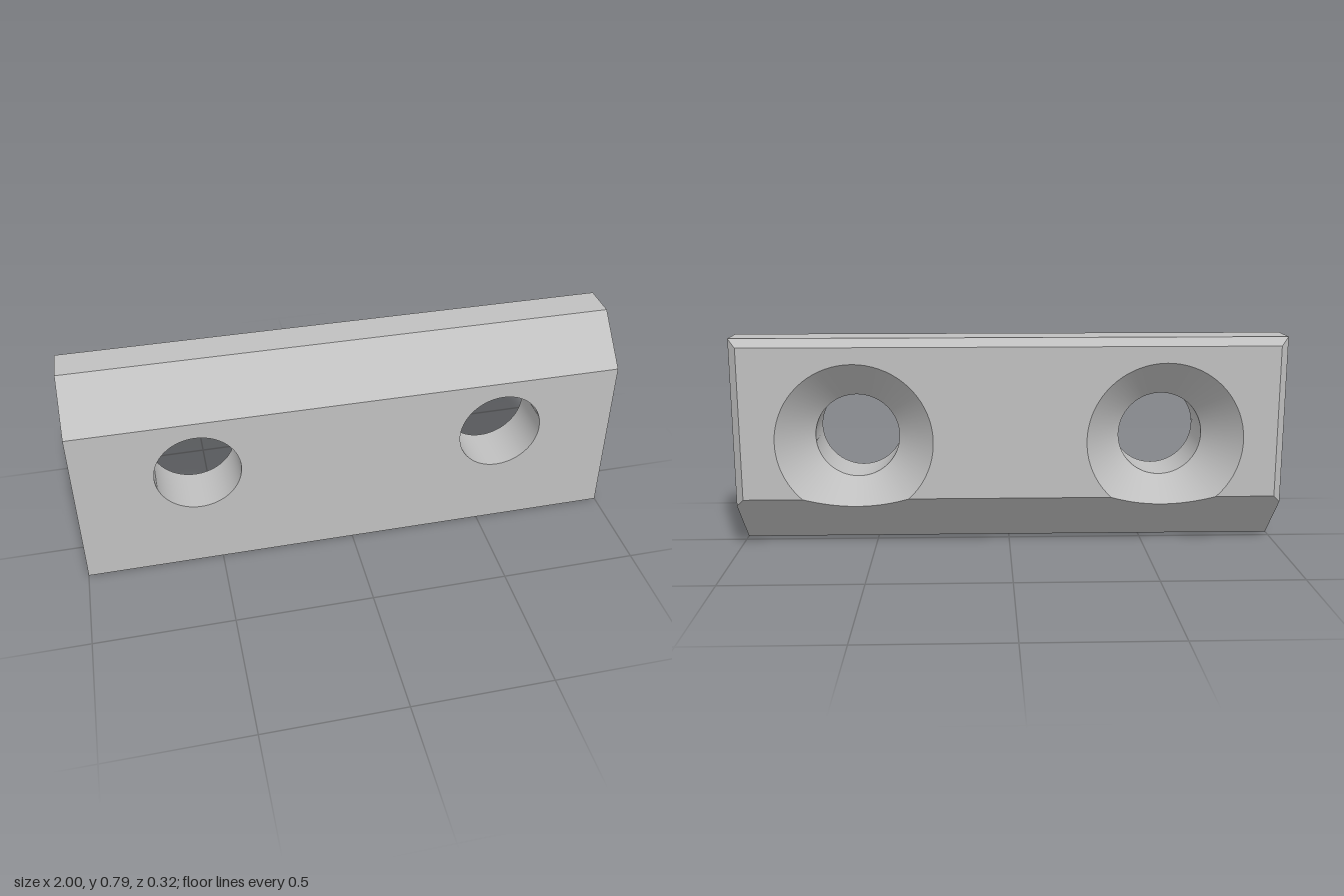
import * as THREE from 'three';

const HOLE_X = [-0.5625, 0.5625], HOLE_Y = 0.41, BORE = 0.155, SINK = 0.285;
const FRONT = 0.16, BACK = -0.16, SINK_START = -0.03, TOP = 0.785;

const steel = new THREE.MeshStandardMaterial({ color: 0xc0c0c0 });
steel.name = 'plainSteel';

function meshOf(name, points, index) {
  const g = new THREE.BufferGeometry();
  g.setAttribute('position', new THREE.Float32BufferAttribute(points.flat(), 3));
  g.setIndex(index);
  g.computeVertexNormals();
  const m = new THREE.Mesh(g, steel);
  m.name = name;
  return m;
}

// Convex flat face, turned to point away from the middle of the block
function facet(name, points) {
  const v = points.map(p => new THREE.Vector3(...p));
  const normal = v[1].clone().sub(v[0]).cross(v[2].clone().sub(v[0]));
  if (normal.dot(v[0].clone().sub(new THREE.Vector3(0, 0.4, 0))) < 0) points = [...points].reverse();
  const index = [];
  for (let i = 1; i < points.length - 1; i++) index.push(0, i, i + 1);
  return meshOf(name, points, index);
}

// Flat face from an x-y outline, with z set by height
function panel(name, outline, holes, zOf, backward) {
  const shape = new THREE.Shape(outline.map(p => new THREE.Vector2(p[0], p[1])));
  shape.holes = holes.map(h => new THREE.Path(h.map(p => new THREE.Vector2(p[0], p[1]))));
  const g = new THREE.ShapeGeometry(shape);
  const pos = g.attributes.position, points = [], index = Array.from(g.index.array);
  for (let i = 0; i < pos.count; i++) points.push([pos.getX(i), pos.getY(i), zOf(pos.getY(i))]);
  return meshOf(name, points, backward ? index.reverse() : index);
}

// Inward-facing wall between a front ring and a rear ring
function wall(name, a, b) {
  const n = a.length, index = [];
  for (let i = 0; i < n; i++) {
    const j = (i + 1) % n;
    index.push(i, j, n + i, j, n + j, n + i);
  }
  return meshOf(name, [...a, ...b], index);
}

// Angles round a hole: the arc in the back face, then the arc in the sloped underside
const corner = Math.asin((HOLE_Y - 0.2) / SINK);
const span = (from, to, n) => Array.from({ length: n + 1 }, (_, i) => from + (to - from) * i / n);
const upper = span(-corner, Math.PI + corner, 56);
const lower = span(Math.PI + corner, 2 * Math.PI - corner, 24);
const around = [...upper, ...lower.slice(1, -1)];

const circle = (cx, r, z) => around.map(t => [cx + r * Math.cos(t), HOLE_Y + r * Math.sin(t), z]);

// Outer edge of the 45 degree countersink, cut off by the sloped underside
function rim(cx, t) {
  const s = Math.sin(t), k = BORE + SINK_START;
  const slopeZ = s > 0.99 ? BACK : -(HOLE_Y - 0.04 + k * s) / (1 - s);
  const z = Math.max(BACK, slopeZ), r = k - z;
  return [cx + r * Math.cos(t), HOLE_Y + r * s, z];
}

export function createModel() {
  const group = new THREE.Group();
  group.name = 'mountingBlock';

  // Pierced front, back and sloped underside
  group.add(panel('frontFace', [[-1, 0], [1, 0], [1, 0.625], [-1, 0.625]],
    HOLE_X.map(x => circle(x, BORE, FRONT)), () => FRONT, false));

  const bites = HOLE_X.flatMap(x => [...upper].reverse().map(t => rim(x, t)));
  group.add(panel('backFace',
    [[-0.97, 0.2], ...bites, [0.97, 0.2], [0.97, 0.755], [-0.97, 0.755]], [], () => BACK, true));

  const dips = [...HOLE_X].reverse().flatMap(x => [...lower].reverse().map(t => rim(x, t)));
  group.add(panel('slopedUnderside',
    [[-1, 0], [1, 0], [1, 0.17], [0.97, 0.2], ...dips, [-0.97, 0.2], [-1, 0.17]],
    [], y => 0.04 - y, true));

  // Long plain faces, each between two (y, z) edges
  const strip = (name, y0, z0, x0, y1, z1, x1) => group.add(facet(name,
    [[-x0, y0, z0], [x0, y0, z0], [x1, y1, z1], [-x1, y1, z1]]));
  strip('bottomFace', 0, FRONT, 1, 0, 0.04, 1);
  strip('frontBevel', 0.625, FRONT, 1, TOP, 0, 1);
  strip('topFace', TOP, 0, 1, TOP, -0.13, 1);
  strip('topRearChamfer', TOP, -0.13, 1, 0.755, BACK, 0.97);

  // Ends and their rear chamfers
  for (const [side, s] of [['left', 1], ['right', -1]]) {
    group.add(facet(side + 'End', [[0, FRONT], [0, 0.04], [0.17, -0.13], [TOP, -0.13], [TOP, 0], [0.625, FRONT]]
      .map(([y, z]) => [s, y, z])));
    group.add(facet(side + 'RearChamfer',
      [[s, 0.17, -0.13], [s, TOP, -0.13], [s * 0.97, 0.755, BACK], [s * 0.97, 0.2, BACK]]));
  }

  // Bolt holes with countersinks opening at the back
  HOLE_X.forEach((x, i) => {
    const side = i ? 'left' : 'right';
    const neck = circle(x, BORE, SINK_START);
    group.add(wall(side + 'Bore', circle(x, BORE, FRONT), neck));
    group.add(wall(side + 'Countersink', neck, around.map(t => rim(x, t))));
  });
  return group;
}
